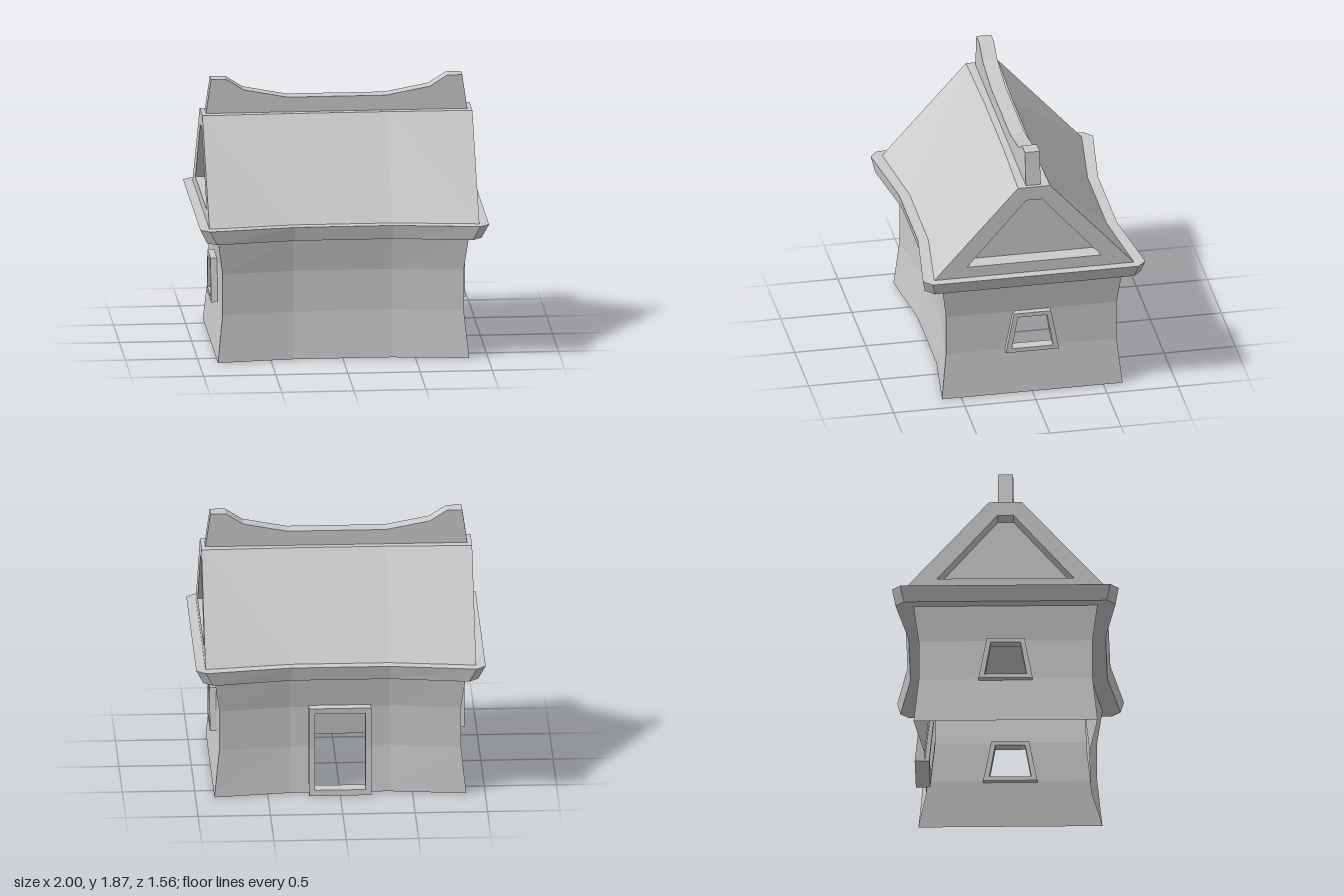
import * as THREE from 'three';

const material = new THREE.MeshStandardMaterial({ color: 0xcccccc, flatShading: true, side: THREE.DoubleSide });

function meshFrom(name, positions) {
  const g = new THREE.BufferGeometry();
  g.setAttribute('position', new THREE.Float32BufferAttribute(positions, 3));
  g.computeVertexNormals();
  const m = new THREE.Mesh(g, material);
  m.name = name;
  return m;
}

// Joins consecutive rows of points with quads; skip(row, column) leaves openings.
function loft(name, rows, closed = true, skip = () => false) {
  const out = [];
  const tri = (a, b, c) => {
    const area = new THREE.Vector3().subVectors(b, a).cross(new THREE.Vector3().subVectors(c, a));
    if (area.length() > 1e-8) for (const p of [a, b, c]) out.push(p.x, p.y, p.z);
  };
  for (let r = 0; r + 1 < rows.length; r++) {
    const A = rows[r], B = rows[r + 1], n = A.length;
    for (let i = 0; i < (closed ? n : n - 1); i++) {
      if (skip(r, i)) continue;
      const j = (i + 1) % n;
      tri(A[i], A[j], B[j]);
      tri(A[i], B[j], B[i]);
    }
  }
  return meshFrom(name, out);
}

const V = (x, y, z) => new THREE.Vector3(x, y, z);

// Outward flare of the walls at foot and top
function flare(y) {
  if (y < 0.33) return 0.035 * (1 - y / 0.33);
  return y > 0.62 ? 0.035 * (y - 0.62) / 0.25 : 0;
}

// Point on the long wall, which bows inward in the middle
function wallPoint(x, y, offset = 0) {
  const end = 0.835 + flare(y);
  const t = THREE.MathUtils.clamp((Math.abs(x) - 0.34) / (end - 0.34), 0, 1);
  return V(x, y, 0.535 + flare(y) + 0.065 * t + offset);
}

function longWall(name, hasDoor) {
  const rows = [0, 0.04, 0.33, 0.59, 0.62, 0.87].map((y) => {
    const e = 0.835 + flare(y);
    return [-e, -0.34, -0.175, 0.175, 0.34, e].map((x) => wallPoint(x, y));
  });
  return loft(name, rows, false, (r, i) => hasDoor && i === 2 && (r === 1 || r === 2));
}

// Door surround following the curve of the wall
function doorFrame() {
  const loop = (w, y0, y1, offset) =>
    [[-w, y0], [w, y0], [w, 0.33], [w, y1], [-w, y1], [-w, 0.33]].map(([x, y]) => wallPoint(x, y, offset));
  const outer = (o) => loop(0.215, 0, 0.63, o);
  const inner = (o) => loop(0.175, 0.04, 0.59, o);
  return loft('doorFrame', [outer(-0.03), outer(0.07), inner(0.07), inner(-0.03), outer(-0.03)]);
}

// Four-cornered section across the house at a given x
const trapezoid = (x, zBottom, zTop, y0, y1) =>
  [V(x, y0, zBottom), V(x, y0, -zBottom), V(x, y1, -zTop), V(x, y1, zTop)];

// End wall with its window
function endWall() {
  const group = new THREE.Group();
  const row = (y) => {
    const f = flare(y);
    return [V(0.835 + f, y, 0.6 + f), V(0.835 + f, y, -0.6 - f)];
  };
  const outer = (x) => trapezoid(x, 0.187, 0.13, 0.32, 0.62);
  const inner = (x) => trapezoid(x, 0.145, 0.103, 0.35, 0.59);
  group.add(
    loft('lowerEndWall', [row(0), row(0.33)], false),
    loft('windowWall', [trapezoid(0.835, 0.6, 0.6, 0.33, 0.62), inner(0.835)]),
    loft('upperEndWall', [row(0.62), row(0.87)], false),
    loft('windowFrame', [outer(0.8), outer(0.88), inner(0.88), inner(0.8), outer(0.8)]),
  );
  return group;
}

// Eave slab with chamfered corners and bowed long sides
function eaves() {
  const plan = (y, x, z, cx, cz, mid) => {
    const half = [[x, z], [x, -z], [cx, -cz], [0.34, -mid], [-0.34, -mid], [-cx, -cz]];
    return [...half, ...half.map(([a, b]) => [-a, -b])].map(([a, b]) => V(a, y, b));
  };
  const centre = (y) => plan(y, 0, 0, 0, 0, 0).map(() => V(0, y, 0));
  return loft('eaves', [
    centre(0.87),
    plan(0.87, 0.95, 0.7, 0.885, 0.76, 0.68),
    plan(0.97, 1, 0.725, 0.935, 0.782, 0.7),
    centre(0.97),
  ]);
}

// Roof body with recessed gables at both ends
function roof() {
  const section = (x, zb, zt) => trapezoid(x, zb, zt, 0.97, 1.63);
  const recess = (x) => trapezoid(x, 0.472, 0.055, 1.05, 1.53);
  const centre = (x) => trapezoid(x, 0, 0, 1.25, 1.25);
  return loft('roof', [
    centre(-0.815), recess(-0.815), recess(-0.935),
    section(-0.935, 0.702, 0.113), section(-0.34, 0.627, 0.1),
    section(0.34, 0.627, 0.1), section(0.935, 0.702, 0.113),
    recess(0.935), recess(0.815), centre(0.815),
  ]);
}

// Ridge beam with raised ends
function ridge() {
  const right = [[0.905, 1.63], [0.87, 1.87], [0.765, 1.87], [0.645, 1.793], [0.34, 1.735]];
  const left = right.map(([x, y]) => [-x, y]).reverse();
  const shape = new THREE.Shape([...right, ...left].map(([x, y]) => new THREE.Vector2(x, y)));
  const g = new THREE.ExtrudeGeometry(shape, { depth: 0.104, bevelEnabled: false });
  g.translate(0, 0, -0.052);
  const m = new THREE.Mesh(g, material);
  m.name = 'ridge';
  return m;
}

export function createModel() {
  const house = new THREE.Group();
  house.name = 'house';

  const back = new THREE.Group();
  back.name = 'backWallWithDoor';
  back.add(longWall('backWall', true), doorFrame());
  back.rotation.y = Math.PI;

  const leftEnd = endWall();
  leftEnd.name = 'leftEndWall';
  const rightEnd = endWall();
  rightEnd.name = 'rightEndWall';
  rightEnd.rotation.y = Math.PI;

  house.add(longWall('frontWall', false), back, leftEnd, rightEnd, eaves(), roof(), ridge());
  return house;
}
